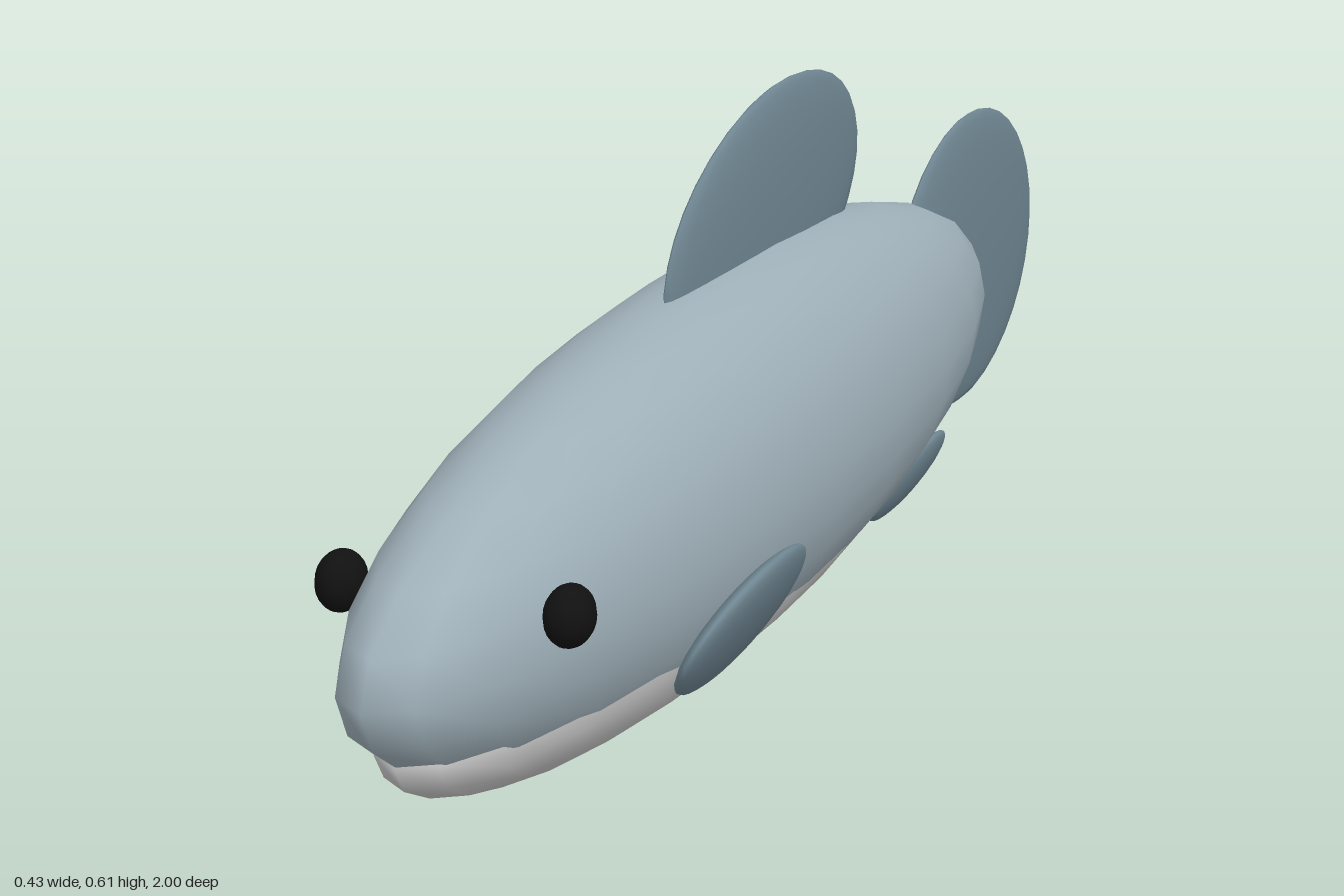
import * as THREE from 'three';

const paint = (color) => new THREE.MeshStandardMaterial({ color });

export function createModel() {
  const fish = new THREE.Group();
  fish.name = 'fish';

  const skin = paint(0x9fb0b9);
  const fin = paint(0x6f8692);
  const pale = paint(0xcccccc);
  const black = paint(0x111111);

  // Every part is a stretched sphere: radii, centre, then tilt
  function blob(name, material, radii, centre, tilt = [0, 0, 0], sides = 24, rings = 14) {
    const mesh = new THREE.Mesh(new THREE.SphereGeometry(1, sides, rings), material);
    mesh.name = name;
    mesh.scale.set(...radii);
    mesh.position.set(...centre);
    mesh.rotation.set(...tilt);
    fish.add(mesh);
    return mesh;
  }

  // Body and pale underside
  blob('body', skin, [0.168, 0.216, 0.84], [0, 0.224, 0.155]);
  blob('belly', pale, [0.141, 0.137, 0.72], [0, 0.14, 0.21]);

  // Fins on the centre line
  blob('dorsalFin', fin, [0.02, 0.151, 0.298], [0, 0.46, -0.02], [0.145, 0, 0], 24, 18);
  blob('tailFin', fin, [0.02, 0.2, 0.27], [0, 0.225, -0.73], [0, 0, 0], 24, 18);

  // Paired fins flare outward at the top; eyes sit on the sides of the head
  for (const [side, s] of [['left', 1], ['right', -1]]) {
    blob(side + 'PectoralFin', fin, [0.019, 0.083, 0.152], [s * 0.171, 0.155, 0.46], [0, 0, -s * 0.5]);

    const pelvic = blob(side + 'PelvicFin', fin, [0.014, 0.046, 0.108], [s * 0.085, 0.066, -0.282], [0.16, 0, -s * 0.45]);
    pelvic.rotation.order = 'ZXY';

    blob(side + 'Eye', black, [0.026, 0.033, 0.033], [s * 0.128, 0.273, 0.795], [0, 0, 0], 16, 12);
  }

  return fish;
}
